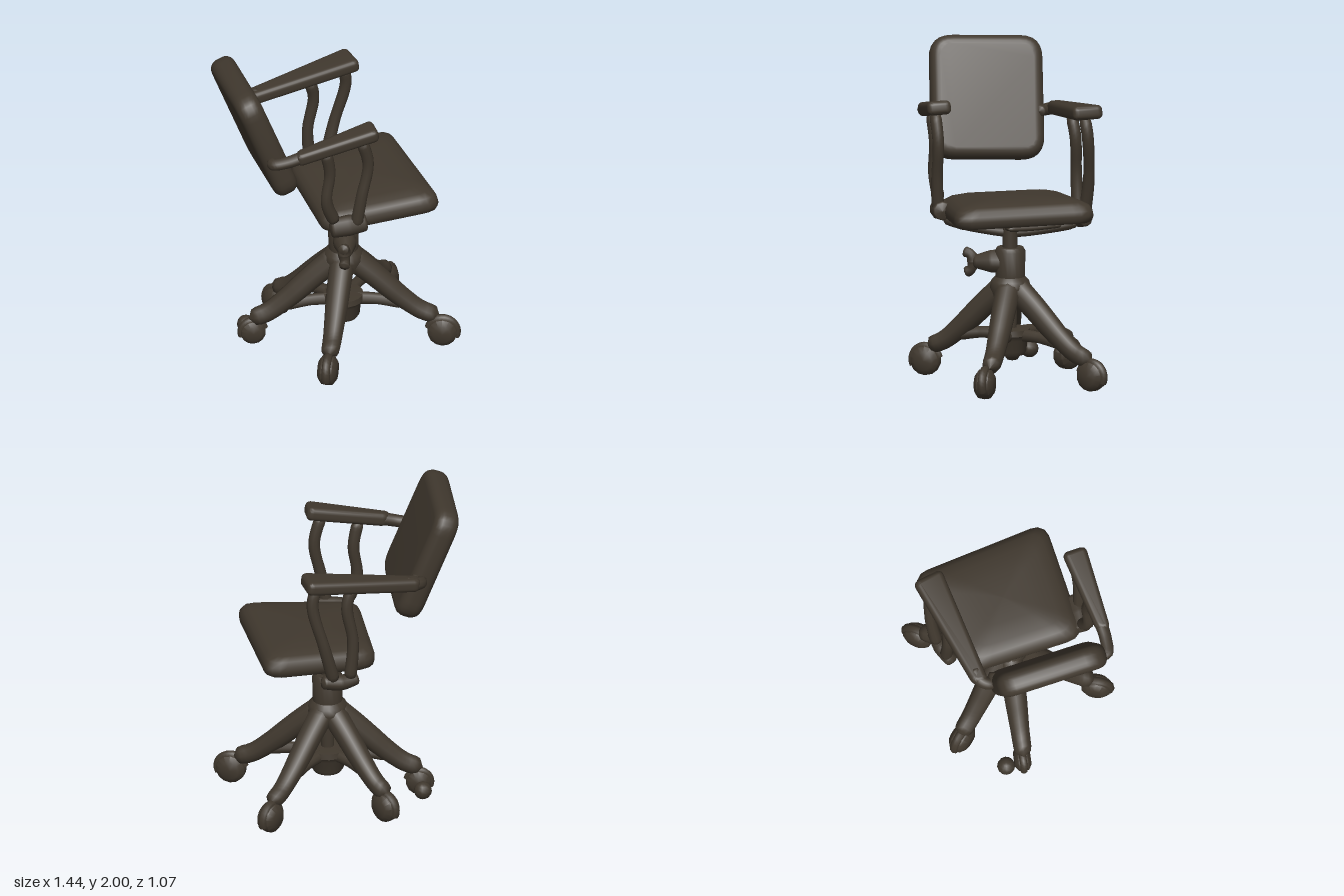
import * as THREE from 'three';
import { mergeVertices, toCreasedNormals } from 'three/addons/utils/BufferGeometryUtils.js';

const V = (x, y, z) => new THREE.Vector3(x, y, z);
const CX = 0.115, CZ = 0.02; // swivel axis

export function createModel() {
  const model = new THREE.Group();
  const paint = new THREE.MeshStandardMaterial({ color: 0x40382e });
  paint.name = 'dark brown';

  const add = (name, geo, parent = model) => {
    const m = new THREE.Mesh(geo, paint);
    m.name = name;
    parent.add(m);
    return m;
  };

  // Closed smooth limb: radii are spread along the path
  const limb = (name, pts, radii) => {
    const curve = new THREE.CatmullRomCurve3(pts.map(p => V(...p)));
    const N = 24, R = 10;
    const geo = new THREE.TubeGeometry(curve, N, 1, R);
    const pos = geo.attributes.position;
    for (let i = 0; i <= N; i++) {
      const t = i / N, c = curve.getPointAt(t);
      const k = t * (radii.length - 1), a = Math.floor(k);
      const b = Math.min(a + 1, radii.length - 1);
      let r = THREE.MathUtils.lerp(radii[a], radii[b], k - a);
      if (i === 0 || i === N) r *= 0.02;
      else if (i === 1 || i === N - 1) r *= 0.88;
      for (let j = 0; j <= R; j++) {
        const q = i * (R + 1) + j;
        const v = V(0, 0, 0).fromBufferAttribute(pos, q).sub(c).multiplyScalar(r).add(c);
        pos.setXYZ(q, v.x, v.y, v.z);
      }
    }
    geo.deleteAttribute('uv');
    geo.deleteAttribute('normal');
    const merged = mergeVertices(geo, 1e-5);
    merged.computeVertexNormals();
    return add(name, merged);
  };

  // Polygon with rounded corners
  const roundedShape = (corners, radius) => {
    const s = new THREE.Shape(), n = corners.length;
    corners.forEach((c, i) => {
      const p = new THREE.Vector2(...c);
      const towards = o => p.clone().add(new THREE.Vector2(...o).sub(p).setLength(radius));
      const a = towards(corners[(i + n - 1) % n]), b = towards(corners[(i + 1) % n]);
      if (i) s.lineTo(a.x, a.y); else s.moveTo(a.x, a.y);
      s.quadraticCurveTo(p.x, p.y, b.x, b.y);
    });
    s.closePath();
    return s;
  };

  // Rounded polygon extruded with a soft rim, centred on its thickness
  const pad = (corners, radius, thick, bevel) => {
    const geo = new THREE.ExtrudeGeometry(roundedShape(corners, radius), {
      depth: thick - 2 * bevel, bevelEnabled: true, bevelThickness: bevel,
      bevelSize: bevel, bevelOffset: -bevel, bevelSegments: 5, curveSegments: 6,
    });
    geo.translate(0, 0, bevel - thick / 2);
    return toCreasedNormals(geo, 0.9);
  };

  // Domed cushion: one outline repeated at [scale, height] steps from crown to underside
  const cushion = (corners, radius, steps) => {
    const ring = roundedShape(corners, radius).getSpacedPoints(64).slice(0, 64);
    const n = ring.length, pos = [], index = [];
    steps.forEach(([s, y]) => ring.forEach(p => pos.push(p.x * s, y, -p.y * s)));
    for (let i = 0; i < steps.length - 1; i++) {
      for (let j = 0; j < n; j++) {
        const a = i * n + j, b = i * n + (j + 1) % n;
        index.push(a, a + n, b, b, a + n, b + n);
      }
    }
    const geo = new THREE.BufferGeometry();
    geo.setAttribute('position', new THREE.Float32BufferAttribute(pos, 3));
    geo.setIndex(index);
    geo.computeVertexNormals();
    return geo;
  };

  const lathe = (name, profile) => {
    const geo = new THREE.LatheGeometry(profile.map(p => new THREE.Vector2(...p)), 20);
    add(name, toCreasedNormals(geo, 0.7)).position.set(CX, 0, CZ);
  };

  // Seat: crowned on top, slightly higher at the front
  const seat = add('seat', cushion(
    [[-0.455, -0.285], [0.265, -0.5], [0.445, 0.36], [-0.255, 0.43]], 0.1,
    [[0.001, 0.085], [0.4, 0.083], [0.7, 0.072], [0.86, 0.056], [0.95, 0.035], [0.99, 0.005], [1, -0.025],
      [0.98, -0.055], [0.93, -0.07], [0.6, -0.085], [0.001, -0.09]]));
  seat.position.set(0.22, 1.085, 0.05);
  seat.rotation.z = 0.06;

  // Backrest, leaning back
  const backGeo = pad([[-0.345, -0.38], [0.345, -0.38], [0.345, 0.38], [-0.345, 0.38]], 0.14, 0.155, 0.06);
  backGeo.rotateY(Math.PI / 2);
  const back = add('backrest', backGeo);
  back.position.set(-0.46, 1.635, -0.09);
  back.rotation.set(-0.035, -0.28, 0.375, 'YZX');

  // Tapered armrests and their links to the backrest
  const armrest = (name, [x, y, z], corners, rise) => {
    const geo = pad(corners.map(c => [c[0] - x, z - c[1]]), 0.04, 0.085, 0.03);
    const m = add(name, geo.rotateX(-Math.PI / 2));
    m.position.set(x, y, z);
    m.rotation.z = rise;
  };
  armrest('rightArmrest', [-0.17, 1.66, 0.4], [[-0.46, 0.375], [0.045, 0.535], [0.085, 0.39], [-0.42, 0.3]], 0.21);
  armrest('leftArmrest', [0.08, 1.627, -0.405], [[-0.3, -0.415], [0.43, -0.26], [0.455, -0.45], [-0.27, -0.505]], 0.14);
  limb('rightArmLink', [[-0.54, 1.57, 0.23], [-0.56, 1.575, 0.275], [-0.48, 1.59, 0.32], [-0.38, 1.615, 0.35]], [0.035, 0.04]);
  limb('leftArmLink', [[-0.27, 1.56, -0.35], [-0.31, 1.56, -0.41], [-0.27, 1.575, -0.45], [-0.18, 1.595, -0.45]], [0.035, 0.045]);

  // Bent arm posts and their feet
  const posts = [
    ['rightRearPost', [[-0.25, 1.62, 0.375], [-0.215, 1.45, 0.37], [-0.235, 1.25, 0.365], [-0.17, 1.08, 0.36]]],
    ['rightFrontPost', [[-0.04, 1.67, 0.45], [0.01, 1.48, 0.45], [-0.03, 1.26, 0.44], [-0.06, 1.04, 0.42]]],
    ['leftRearPost', [[0.13, 1.62, -0.38], [0.17, 1.48, -0.39], [0.14, 1.25, -0.41], [0.16, 0.99, -0.41]]],
    ['leftFrontPost', [[0.36, 1.65, -0.36], [0.39, 1.52, -0.37], [0.33, 1.25, -0.405], [0.26, 0.99, -0.405]]],
  ];
  posts.forEach(([name, pts]) => limb(name, pts, [0.038, 0.034, 0.04]));
  limb('rightPostFoot', [[-0.2, 1.04, 0.34], [-0.1, 1.05, 0.385], [0.02, 1.06, 0.425]], [0.06, 0.065, 0.055]);
  limb('leftPostFoot', [[0.1, 0.99, -0.4], [0.21, 0.98, -0.4], [0.34, 1.0, -0.385]], [0.04, 0.05, 0.04]);

  // Bowed carrier and light frame under the seat
  limb('underSeatBow', [[0.22, 0.97, -0.4], [0.18, 0.94, -0.25], [0.11, 0.915, 0], [0, 0.95, 0.22], [-0.1, 1.0, 0.38]],
    [0.04, 0.032, 0.032, 0.04]);
  limb('rearSeatBrace', [[0.1, 0.9, 0.02], [0, 0.92, 0.03], [-0.07, 0.965, 0.03], [-0.12, 1.03, 0.03]], [0.035, 0.03]);
  for (const z of [-0.17, 0.17]) {
    limb('frontSeatBrace', [[0.13, 0.965, CZ], [0.3, 0.985, CZ + z * 0.6], [0.47, 1.015, CZ + z]], [0.02, 0.016]);
  }
  limb('frontSeatCrossbar', [[0.47, 1.01, CZ - 0.18], [0.47, 1.005, CZ], [0.47, 1.01, CZ + 0.18]], [0.016, 0.016]);

  // Swivel column
  lathe('post', [[0, 0.3], [0.04, 0.3], [0.045, 0.8], [0.045, 1.03], [0, 1.03]]);
  lathe('collar', [[0, 0.5], [0.1, 0.5], [0.125, 0.58], [0.115, 0.62], [0.09, 0.645], [0.094, 0.8], [0.08, 0.825], [0, 0.825]]);
  lathe('lowerHub', [[0, 0.165], [0.085, 0.165], [0.1, 0.19], [0.105, 0.26], [0.125, 0.29], [0.12, 0.325], [0, 0.335]]);

  // Clamp screw with a wing handle
  limb('clampStem', [[CX, 0.735, CZ], [0.06, 0.735, 0.12], [0, 0.73, 0.22]], [0.075, 0.07, 0.035]);
  limb('clampWing', [[-0.045, 0.79, 0.255], [-0.01, 0.775, 0.225], [-0.005, 0.73, 0.21], [-0.01, 0.68, 0.225], [-0.035, 0.66, 0.25]],
    [0.035, 0.03, 0.04, 0.03, 0.035]);

  // Splayed legs with braces: foot x, foot z, caster x, caster z, caster scale
  const feet = [
    [0.61, -0.27, 0.63, -0.285, 1], [0.56, 0.36, 0.58, 0.405, 1], [-0.06, -0.45, -0.06, -0.445, 1],
    [-0.23, 0.39, -0.255, 0.41, 1], [-0.385, -0.22, -0.38, -0.225, 0.85],
  ];
  const wheelGeo = toCreasedNormals(new THREE.LatheGeometry(
    [[0, -0.058], [0.055, -0.058], [0.088, -0.035], [0.094, 0], [0.088, 0.035], [0.055, 0.058], [0, 0.058]]
      .map(p => new THREE.Vector2(...p)), 14), 0.8).rotateX(Math.PI / 2);
  const hoodGeo = new THREE.TorusGeometry(0.083, 0.028, 8, 16, Math.PI * 1.05);
  feet.forEach(([fx, fz, wx, wz, size]) => {
    const at = (t, y) => [CX + (fx - CX) * t, y, CZ + (fz - CZ) * t];
    limb('leg', [at(0.03, 0.6), at(0.3, 0.475), at(0.65, 0.3), at(0.85, 0.22), at(1.04, 0.185)],
      [0.08, 0.075, 0.07, 0.06, 0.055]);
    limb('legBrace', [at(0.1, 0.29), at(0.35, 0.29), at(0.65, 0.27)], [0.04, 0.035, 0.04]);

    const caster = new THREE.Group();
    caster.name = 'caster';
    add('casterWheel', wheelGeo, caster);
    add('casterHood', hoodGeo, caster).rotation.z = -0.4;
    caster.position.set(wx, 0.095, wz);
    caster.scale.setScalar(size);
    caster.rotation.y = -Math.atan2(fz - CZ, fx - CX);
    model.add(caster);
  });

  // Small loose roller beside the rear foot
  add('looseRoller', new THREE.SphereGeometry(0.055, 12, 8)).position.set(-0.36, 0.085, -0.33);

  return model;
}
